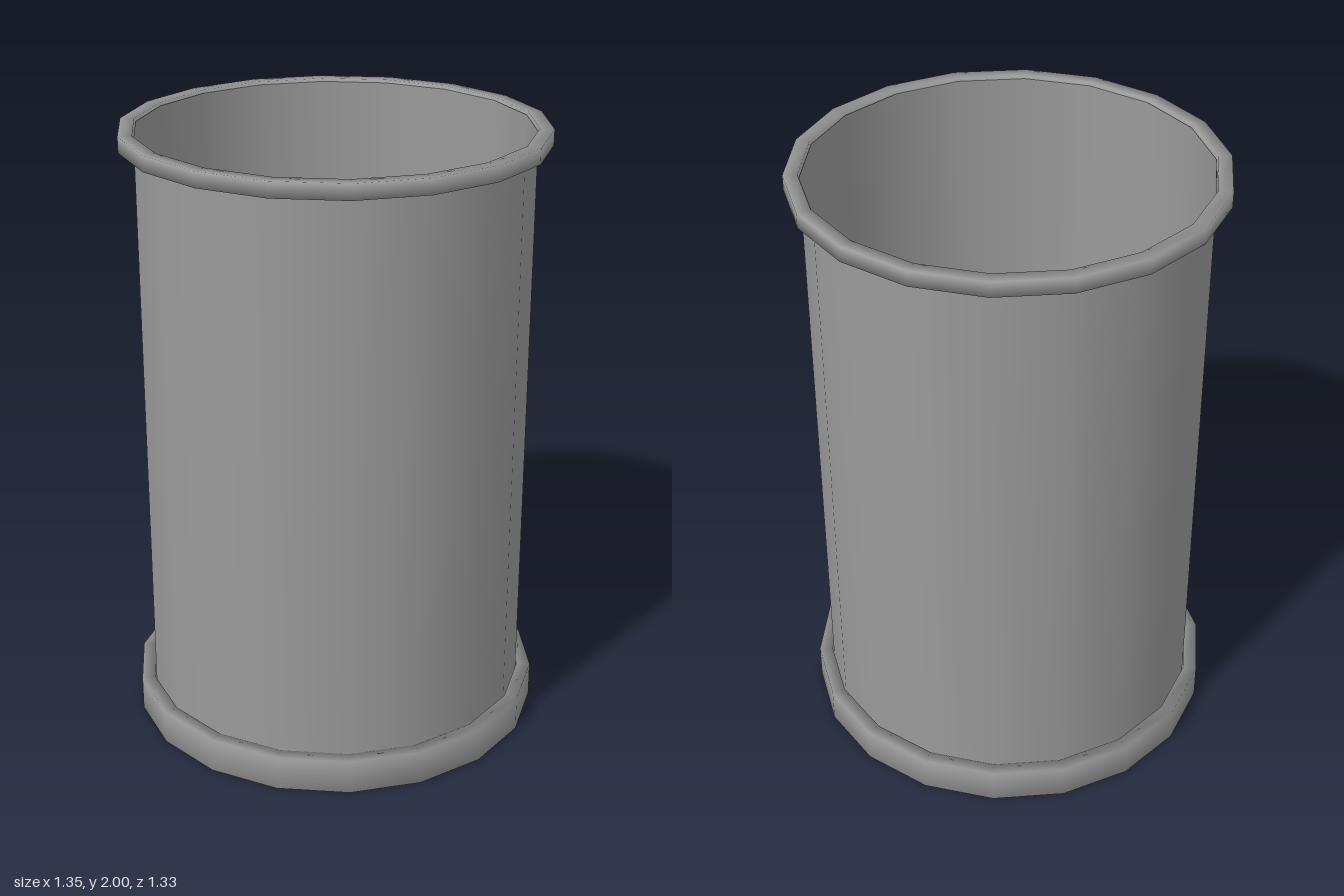
import * as THREE from 'three';

const SIDES = 18;
const WALL = 0.628;
const INNER = 0.632;
const OUTER = 0.677;
const material = new THREE.MeshStandardMaterial({ color: 0x9a9a9a, side: THREE.DoubleSide });

// Revolves a [radius, height] profile, with a corner on the x axis
function revolve(name, profile) {
  const points = profile.map(([r, y]) => new THREE.Vector2(r, y));
  const mesh = new THREE.Mesh(new THREE.LatheGeometry(points, SIDES, Math.PI / 2), material);
  mesh.name = name;
  return mesh;
}

// Band of rectangular section with softly shaded edges
function band(name, bottom, top) {
  return revolve(name, [[INNER, bottom], [OUTER, bottom], [OUTER, top], [INNER, top], [INNER, bottom]]);
}

export function createModel() {
  const group = new THREE.Group();
  group.name = 'openCan';

  // Thin open wall, just inside the bands
  group.add(revolve('wall', [[WALL, 0.005], [WALL, 1.99]]));

  // Rim and base band
  group.add(band('topRim', 1.95, 2));
  group.add(band('baseBand', 0, 0.115));

  // Floor disc closing the wall
  const floor = new THREE.Mesh(new THREE.CircleGeometry(WALL, SIDES), material);
  floor.name = 'floor';
  floor.rotation.x = -Math.PI / 2;
  floor.position.y = 0.005;
  group.add(floor);

  return group;
}
